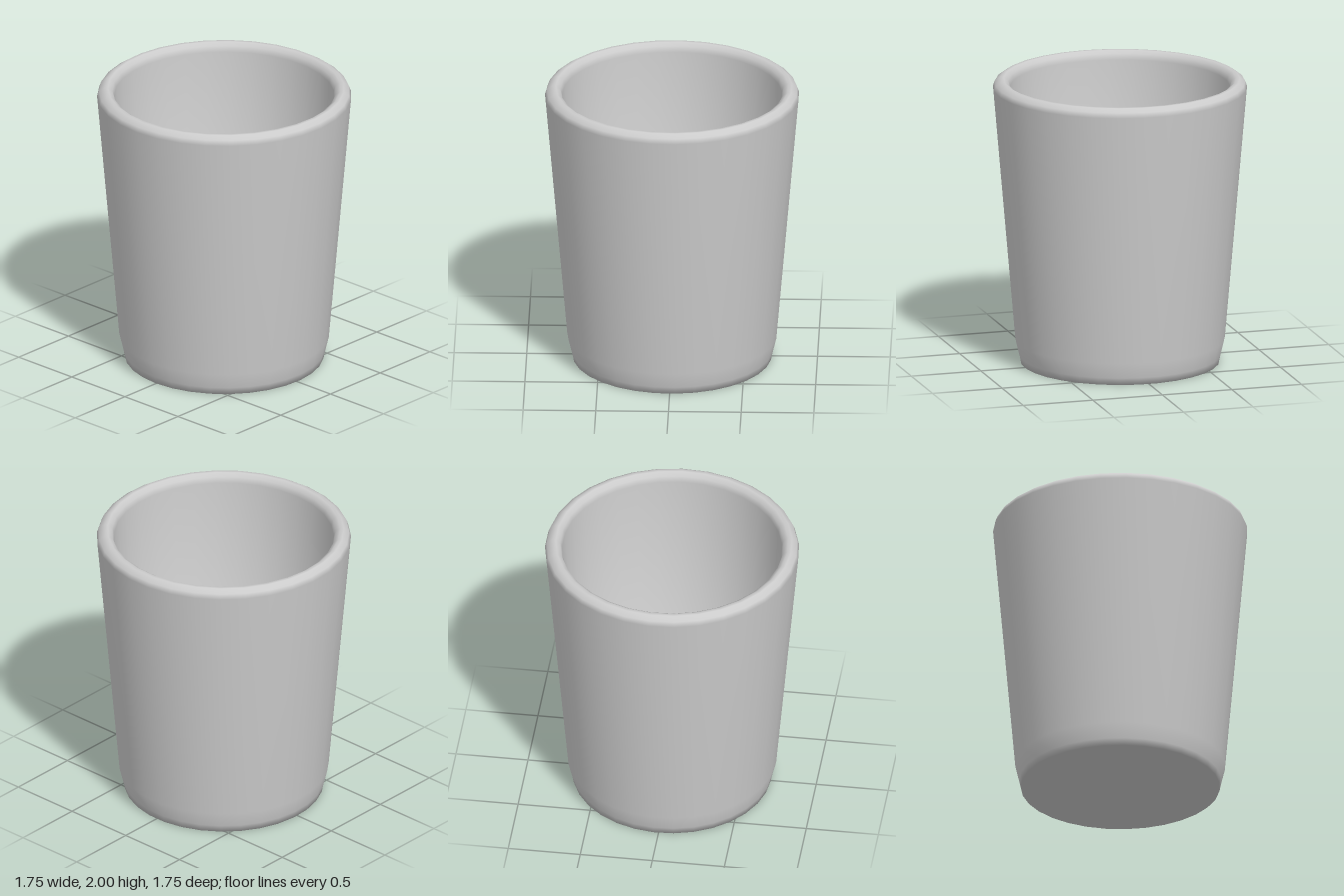
import * as THREE from 'three';

// Tapered tumbler: one closed profile turned around the y axis
export function createModel() {
  const group = new THREE.Group();
  group.name = 'tumbler';

  const profile = [
    // underside and chamfered foot
    [0, 0], [0.685, 0], [0.695, 0.05], [0.722, 0.16],
    // rounded rim
    [0.875, 1.94], [0.862, 1.975], [0.825, 2], [0.8, 2], [0.77, 1.98], [0.757, 1.94],
    // inner wall and floor
    [0.62, 0.16], [0, 0.12],
  ].map(([r, y]) => new THREE.Vector2(r, y));

  const cup = new THREE.Mesh(
    new THREE.LatheGeometry(profile, 31),
    new THREE.MeshStandardMaterial({ color: 0xcccccc })
  );
  cup.name = 'cup';
  group.add(cup);
  return group;
}
